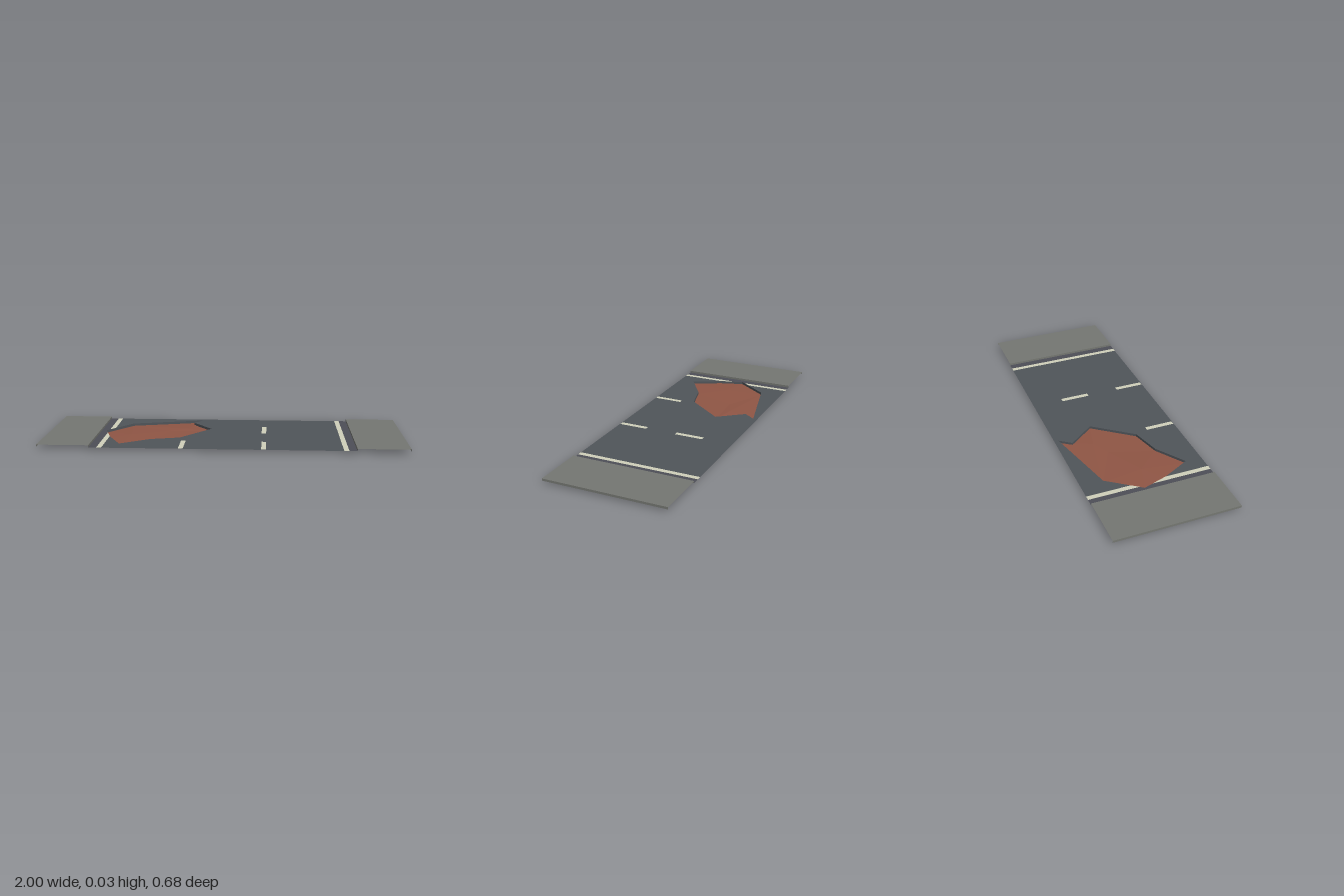
import * as THREE from 'three';

const ROAD_Y = 0.014, WALK_Y = 0.026, HALF_Z = 0.34, GUTTER_X = 0.674, KERB_X = 0.717;

const material = (name, color) => {
  const m = new THREE.MeshStandardMaterial({ color, side: THREE.DoubleSide });
  m.name = name;
  return m;
};

// Flat sheet at height y from a list of [x, z] corners
function sheet(points, y) {
  const shape = new THREE.Shape(points.map(([x, z]) => new THREE.Vector2(x, -z)));
  return new THREE.ShapeGeometry(shape).rotateX(-Math.PI / 2).translate(0, y, 0);
}

const rect = (x0, x1, z0, z1) => [[x0, z0], [x0, z1], [x1, z1], [x1, z0]];

// Faceted surface from points and triangles
function facets(points, triangles) {
  const g = new THREE.BufferGeometry();
  g.setAttribute('position', new THREE.Float32BufferAttribute(triangles.flat().flatMap(i => points[i]), 3));
  g.computeVertexNormals();
  return g;
}

export function createModel() {
  const group = new THREE.Group();
  group.name = 'damagedRoad';
  const asphalt = material('asphalt', 0x50555a);
  const gutter = material('gutter grey', 0x4e4f57);
  const concrete = material('concrete', 0x757772);
  const paint = material('road paint', 0xd0d1bb);
  const earth = material('red earth', 0x905645);
  const add = (name, geometry, mat) => {
    const mesh = new THREE.Mesh(geometry, mat);
    mesh.name = name;
    group.add(mesh);
  };

  // Broken outline of the pothole, as [x, z]
  const rim = [[-0.15, -0.316], [-0.56, -0.215], [-0.69, -0.04], [-0.647, 0.095], [-0.567, 0.25],
    [-0.41, 0.145], [-0.25, 0.103], [-0.086, -0.108], [-0.198, -0.252]];
  const cutBack = [-GUTTER_X, -0.0615], cutFront = [-GUTTER_X, 0.01];

  // Road surface, running around the pothole
  add('roadSurface', sheet([[-GUTTER_X, -HALF_Z], [GUTTER_X, -HALF_Z], [GUTTER_X, HALF_Z], [-GUTTER_X, HALF_Z],
    cutFront, ...rim.slice(3), rim[0], rim[1], cutBack], ROAD_Y), asphalt);

  // Gutters, the right one nicked by the pothole
  add('leftGutter', sheet(rect(GUTTER_X, KERB_X, -HALF_Z, HALF_Z), ROAD_Y), gutter);
  add('rightGutter', sheet([[-KERB_X, -HALF_Z], [-KERB_X, HALF_Z], [-GUTTER_X, HALF_Z],
    cutFront, rim[2], cutBack, [-GUTTER_X, -HALF_Z]], ROAD_Y), gutter);

  // Pothole walls
  const n = rim.length;
  const wallPoints = [...rim.map(([x, z]) => [x, 0, z]), ...rim.map(([x, z]) => [x, ROAD_Y, z])];
  const wallFaces = rim.flatMap((_, i) => {
    const j = (i + 1) % n;
    return [[i, j, j + n], [i, j + n, i + n]];
  });
  add('potholeWalls', facets(wallPoints, wallFaces), asphalt);

  // Pothole floor: rim corners plus three raised points, with two upturned shards
  const P = n, Q = n + 1, S = n + 2;
  const floorPoints = [...rim.map(([x, z]) => [x, 0, z]),
    [-0.535, 0.005, 0.01], [-0.235, 0.004, -0.145], [-0.33, 0.001, -0.097]];
  add('potholeFloor', facets(floorPoints, [[0, 1, Q], [1, S, Q], [1, P, S], [P, 3, 4], [P, 4, 5], [P, 5, S],
    [S, 5, 6], [S, 6, 7], [S, 7, Q], [Q, 7, 8], [Q, 8, 0]]), earth);
  add('potholeShards', facets(floorPoints, [[P, 2, 1], [P, 3, 2]]), earth);

  // Pavements: top, outer edge and kerb face, open at the ends
  for (const side of [1, -1]) {
    const name = side > 0 ? 'left' : 'right';
    const [x0, x1] = side > 0 ? [KERB_X, 1] : [-1, -KERB_X];
    add(name + 'Pavement', sheet(rect(x0, x1, -HALF_Z, HALF_Z), WALK_Y), concrete);
    for (const [part, x, facing] of [['PavementEdge', side, side], ['KerbFace', side * KERB_X, -side]]) {
      const wall = new THREE.PlaneGeometry(2 * HALF_Z, WALK_Y - ROAD_Y)
        .rotateY(facing * Math.PI / 2).translate(x, (WALK_Y + ROAD_Y) / 2, 0);
      add(name + part, wall, concrete);
    }
  }

  // Painted edge lines and lane dashes
  const lineY = ROAD_Y + 0.0008, inner = 0.647;
  add('leftEdgeLine', sheet(rect(inner, GUTTER_X, -HALF_Z, HALF_Z), lineY), paint);
  add('rightEdgeLineBack', sheet([[-GUTTER_X, -HALF_Z], cutBack, [-inner, -0.098], [-inner, -HALF_Z]], lineY), paint);
  add('rightEdgeLineFront', sheet([cutFront, [-GUTTER_X, HALF_Z], [-inner, HALF_Z], rim[3]], lineY), paint);
  for (const [x, z0, z1] of [[0.222, -0.167, -0.005], [0.222, 0.175, 0.337], [-0.222, 0.175, 0.337]]) {
    add('laneDash', sheet(rect(x - 0.013, x + 0.013, z0, z1), lineY), paint);
  }
  return group;
}
